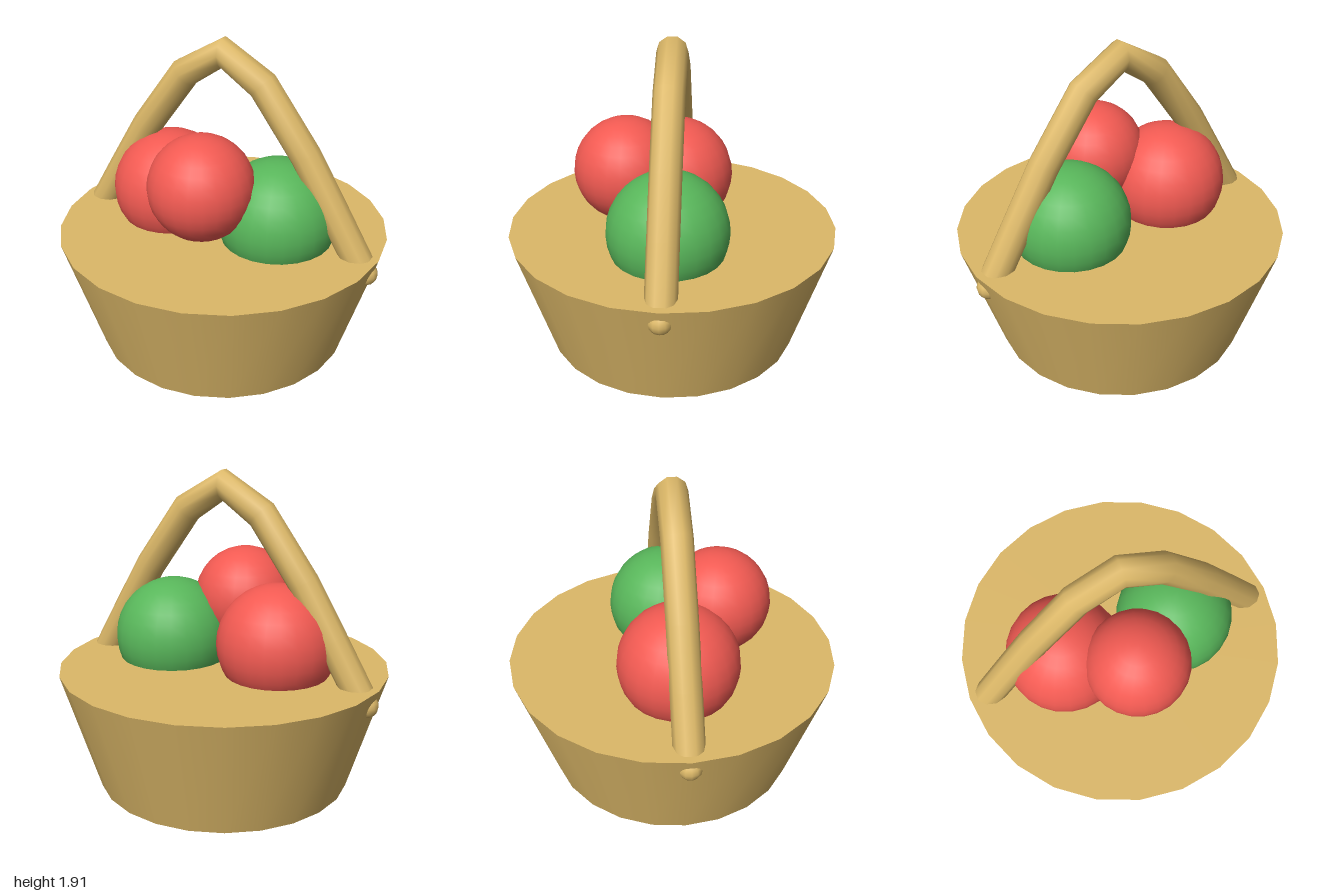
import * as THREE from 'three';

const wicker = new THREE.MeshStandardMaterial({ color: 0xdcb868 });
const handleMat = new THREE.MeshStandardMaterial({ color: 0xdcb868, side: THREE.DoubleSide });
const red = new THREE.MeshStandardMaterial({ color: 0xf25a52 });
const green = new THREE.MeshStandardMaterial({ color: 0x58b65a });

// Path that passes straight from point to point, one tube ring per point
class BentPath extends THREE.Curve {
  constructor(points) {
    super();
    this.points = points;
  }
  getPointAt(u, target = new THREE.Vector3()) {
    const s = u * (this.points.length - 1);
    const i = Math.min(Math.floor(s), this.points.length - 2);
    return target.lerpVectors(this.points[i], this.points[i + 1], s - i);
  }
  getPoint(t, target) {
    return this.getPointAt(t, target);
  }
  getTangentAt(u, target = new THREE.Vector3()) {
    const last = this.points.length - 1;
    const i = Math.round(u * last);
    const before = this.points[Math.max(i - 1, 0)];
    const here = this.points[i];
    const after = this.points[Math.min(i + 1, last)];
    const a = here.clone().sub(before).normalize();
    const b = after.clone().sub(here).normalize();
    return target.addVectors(a, b).normalize();
  }
}

export function createModel() {
  const model = new THREE.Group();
  model.name = 'fruitBasket';

  const add = (name, geometry, material, x = 0, y = 0, z = 0) => {
    const mesh = new THREE.Mesh(geometry, material);
    mesh.name = name;
    mesh.position.set(x, y, z);
    model.add(mesh);
  };

  // Tapered body, closed at the top
  add('basketBody', new THREE.CylinderGeometry(1, 0.775, 0.73, 24), wicker, 0, 0.365, 0);

  // Arched handle, mirrored about its peak
  const half = [[0.88, 0.69], [0.71, 0.98], [0.525, 1.29], [0.25, 1.665]];
  const points = [
    ...half.map(([x, y]) => new THREE.Vector3(-x, y, 0)),
    new THREE.Vector3(0, 1.82, 0),
    ...half.slice().reverse().map(([x, y]) => new THREE.Vector3(x, y, 0)),
  ];
  add('handle', new THREE.TubeGeometry(new BentPath(points), points.length - 1, 0.091, 10), handleMat);

  // Knobs where the handle meets the body
  for (const side of [-1, 1]) {
    add(side > 0 ? 'leftKnob' : 'rightKnob', new THREE.SphereGeometry(0.07, 12, 8), wicker, side * 0.93, 0.63, 0);
  }

  // Fruit
  add('rightFruit', new THREE.SphereGeometry(0.36, 24, 16), red, -0.36, 0.91, 0);
  add('leftFruit', new THREE.SphereGeometry(0.36, 24, 16), green, 0.36, 0.865, 0);
  add('frontFruit', new THREE.SphereGeometry(0.315, 24, 16), red, 0, 1.095, 0.275);

  return model;
}
